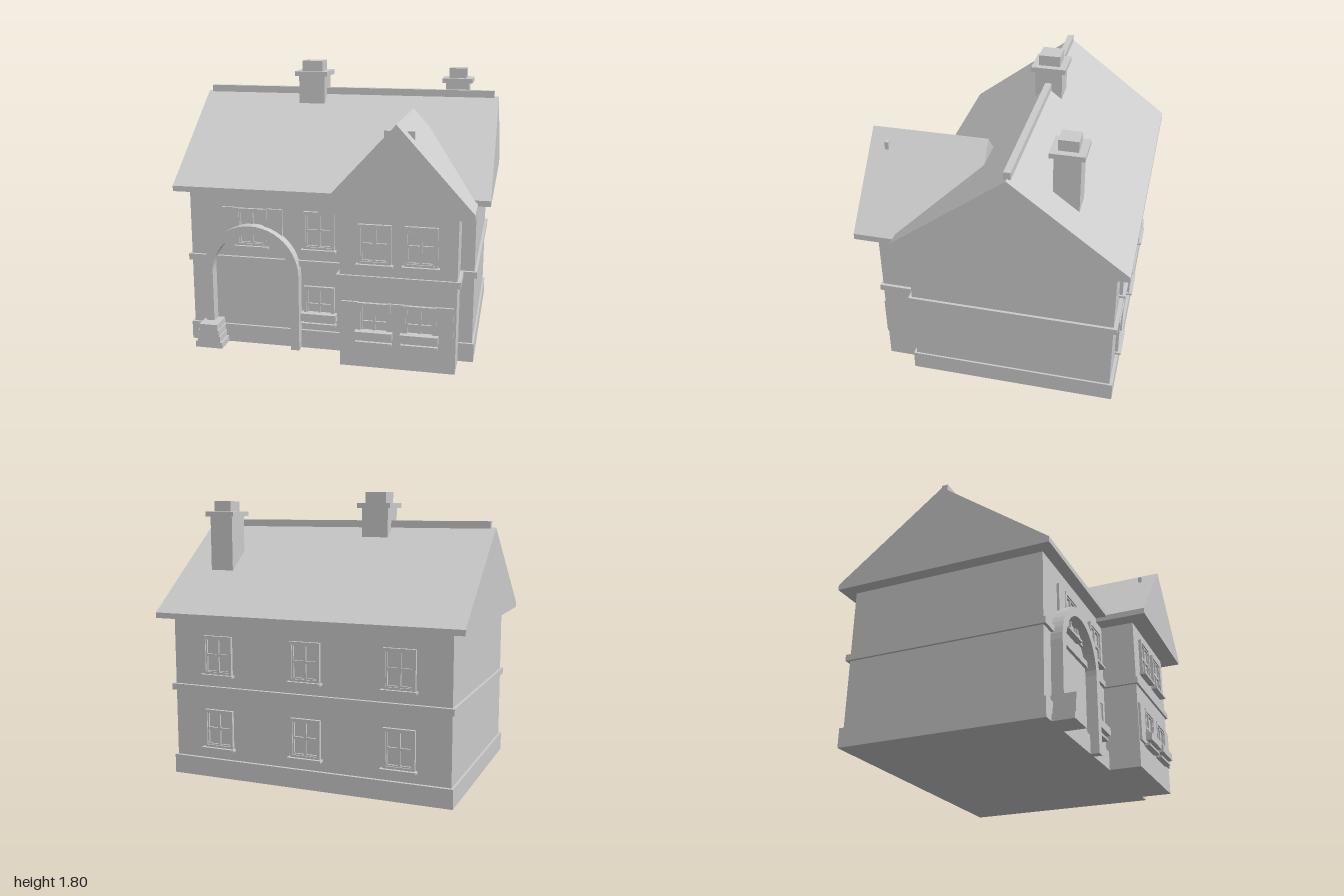
import * as THREE from 'three';

const stone = new THREE.MeshStandardMaterial({ color: 0xcccccc });
stone.name = 'pale stone';

function add(parent, geometry, name) {
  const mesh = new THREE.Mesh(geometry, stone);
  mesh.name = name;
  parent.add(mesh);
  return mesh;
}

// Box given by its limits on each axis
function block(parent, name, x0, x1, y0, y1, z0, z1) {
  const mesh = add(parent, new THREE.BoxGeometry(x1 - x0, y1 - y0, z1 - z0), name);
  mesh.position.set((x0 + x1) / 2, (y0 + y1) / 2, (z0 + z1) / 2);
  return mesh;
}

function rectPath(path, x, y, w, h) {
  path.moveTo(x - w / 2, y - h / 2);
  path.lineTo(x + w / 2, y - h / 2);
  path.lineTo(x + w / 2, y + h / 2);
  path.lineTo(x - w / 2, y + h / 2);
  path.closePath();
  return path;
}

function extrude(shape, depth) {
  return new THREE.ExtrudeGeometry(shape, { depth, bevelEnabled: false, curveSegments: 12 });
}

// Solid gabled roof with a short vertical eave, running along z
function roofGeometry(width, eave, height, length) {
  const s = new THREE.Shape();
  s.moveTo(-width / 2, 0);
  s.lineTo(width / 2, 0);
  s.lineTo(width / 2, eave);
  s.lineTo(0, height);
  s.lineTo(-width / 2, eave);
  s.closePath();
  return extrude(s, length);
}

// Window facing +z, origin at its centre on the wall
function makeWindow({ shutters = false, flowerBox = false } = {}) {
  const g = new THREE.Group();
  g.name = 'window';
  const frame = rectPath(new THREE.Shape(), 0, 0, 0.2, 0.246);
  frame.holes.push(rectPath(new THREE.Path(), 0, 0, 0.166, 0.212));
  add(g, extrude(frame, 0.02), 'windowFrame');
  const sash = rectPath(new THREE.Shape(), 0, 0, 0.166, 0.212);
  for (const x of [-0.041, 0.041])
    for (const y of [-0.053, 0.053])
      sash.holes.push(rectPath(new THREE.Path(), x, y, 0.066, 0.09));
  add(g, extrude(sash, 0.012), 'glazingBars');
  block(g, 'windowSill', -0.112, 0.112, -0.135, -0.12, 0, 0.04);
  if (shutters)
    for (const x of [-0.15, 0.15])
      block(g, 'shutter', x - 0.052, x + 0.052, -0.123, 0.126, 0, 0.015);
  if (flowerBox) block(g, 'flowerBox', -0.115, 0.115, -0.1, -0.05, 0, 0.055);
  return g;
}

function chimney(parent, x, z, shaft, cap, pot, y0, y1, y2, y3) {
  const g = new THREE.Group();
  g.name = 'chimney';
  const tier = (name, w, a, b) => block(g, name, x - w / 2, x + w / 2, a, b, z - w / 2, z + w / 2);
  tier('chimneyShaft', shaft, y0, y1);
  tier('chimneyCap', cap, y1, y2);
  tier('chimneyPot', pot, y2, y3);
  parent.add(g);
}

export function createModel() {
  const house = new THREE.Group();
  house.name = 'house';

  // Walls, plinth and string courses
  block(house, 'mainWalls', -0.915, 0.915, 0, 1.03, -0.757, 0.51);
  block(house, 'plinth', -0.93, 0.927, 0, 0.12, -0.777, 0.527);
  block(house, 'mainStringCourse', -0.932, 0.932, 0.55, 0.59, -0.78, 0.53);
  block(house, 'wingWalls', 0.12, 0.83, 0, 1, 0.4, 0.73);
  block(house, 'wingStringCourse', 0.1, 0.85, 0.55, 0.59, 0.4, 0.745);

  // Roofs
  const mainRoof = add(house, roofGeometry(1.42, 0.035, 0.57, 2), 'mainRoof');
  mainRoof.rotation.y = Math.PI / 2;
  mainRoof.position.set(-1, 1.017, -0.126);
  block(house, 'ridgeCap', -0.97, 0.97, 1.58, 1.625, -0.147, -0.105);
  const wingRoof = add(house, roofGeometry(0.91, 0.038, 0.537, 0.73), 'wingRoof');
  wingRoof.position.set(0.47, 0.99, 0.112);
  block(house, 'gableVent', 0.385, 0.563, 1.3, 1.475, 0.718, 0.742);

  // Chimneys
  chimney(house, -0.24, -0.127, 0.175, 0.222, 0.138, 1.52, 1.705, 1.737, 1.805);
  chimney(house, 0.71, -0.424, 0.157, 0.205, 0.118, 1.2, 1.65, 1.68, 1.747);

  // Entrance arch
  const arch = new THREE.Shape();
  arch.moveTo(0.315, 0);
  arch.lineTo(0.315, 0.497);
  arch.absarc(0, 0.497, 0.315, 0, Math.PI, false);
  arch.lineTo(-0.315, 0);
  arch.lineTo(-0.258, 0);
  arch.lineTo(-0.258, 0.497);
  arch.absarc(0, 0.497, 0.258, Math.PI, 0, true);
  arch.lineTo(0.258, 0);
  arch.closePath();
  add(house, extrude(arch, 0.08), 'entranceArch').position.set(-0.495, 0, 0.502);

  // Stepped base under the arch's outer leg
  [[0.18, 0, 0.04], [0.152, 0.04, 0.08], [0.138, 0.08, 0.12], [0.12, 0.12, 0.16]].forEach(([w, a, b]) =>
    block(house, 'archBaseStep', -0.766 - w / 2, -0.766 + w / 2, a, b, 0.5, 0.66));

  // Front windows: x, y, wall z, extras
  const front = [
    [-0.5, 0.79, 0.51, { shutters: true }],
    [-0.06, 0.79, 0.51, {}],
    [0.335, 0.79, 0.73, {}],
    [0.613, 0.79, 0.73, {}],
    [-0.06, 0.298, 0.51, { flowerBox: true }],
    [0.335, 0.298, 0.73, { shutters: true, flowerBox: true }],
    [0.613, 0.298, 0.73, { shutters: true, flowerBox: true }],
  ];
  for (const [x, y, z, extras] of front) {
    const w = makeWindow(extras);
    w.position.set(x, y, z);
    house.add(w);
  }

  // Back windows
  for (const y of [0.317, 0.79])
    for (const x of [-0.6, 0, 0.6]) {
      const w = makeWindow();
      w.rotation.y = Math.PI;
      w.position.set(x, y, -0.757);
      house.add(w);
    }

  return house;
}
